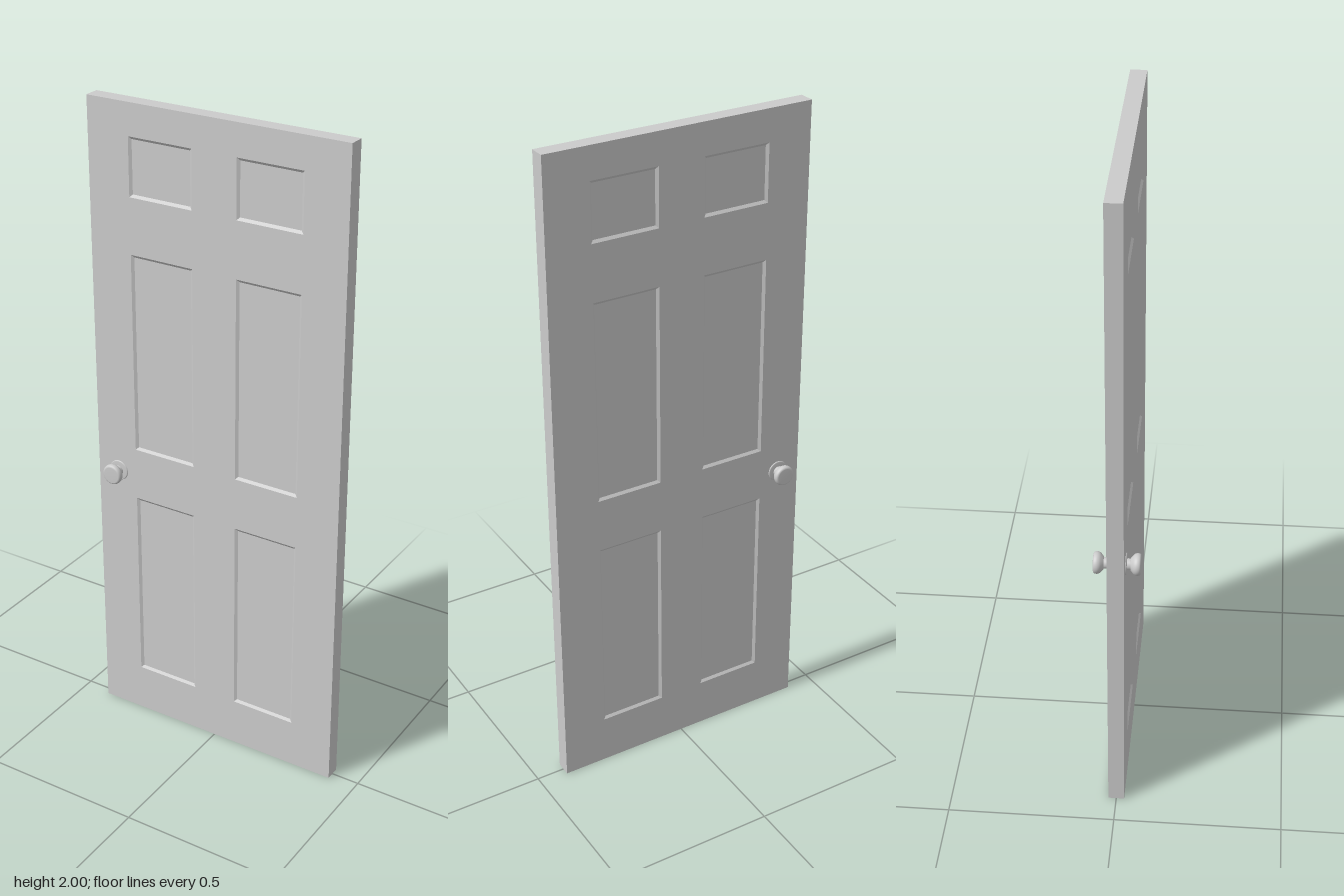
import * as THREE from 'three';

const WIDTH = 0.824, HEIGHT = 2, HALF_DEPTH = 0.024;
const RECESS = 0.006, BEVEL = 0.008;

// Panel columns and rows
const columns = [-0.174, 0.174];
const panelWidth = 0.206;
const rows = [
  { name: 'bottom', y0: 0.154, y1: 0.775 },
  { name: 'middle', y0: 0.94, y1: 1.56 },
  { name: 'top', y0: 1.73, y1: 1.904 },
];

const material = new THREE.MeshStandardMaterial({ color: 0xcccccc });

function part(name, geometry, parent) {
  const mesh = new THREE.Mesh(geometry, material);
  mesh.name = name;
  parent.add(mesh);
  return mesh;
}

// Corners of a rectangle, counter-clockwise seen from +z
function corners(w, h) {
  return [[-w / 2, -h / 2], [w / 2, -h / 2], [w / 2, h / 2], [-w / 2, h / 2]];
}

// Flat-shaded walls between two rectangles [w, h, z], the first one optionally capped
function rectLoft(first, second, cap) {
  const positions = [];
  for (const [w, h, z] of [first, second]) {
    for (const [x, y] of corners(w, h)) positions.push(x, y, z);
  }
  const index = cap ? [0, 1, 2, 0, 2, 3] : [];
  for (let i = 0; i < 4; i++) {
    const j = (i + 1) % 4;
    index.push(i, i + 4, j, j, i + 4, j + 4);
  }
  const indexed = new THREE.BufferGeometry();
  indexed.setAttribute('position', new THREE.Float32BufferAttribute(positions, 3));
  indexed.setIndex(index);
  const geometry = indexed.toNonIndexed();
  geometry.computeVertexNormals();
  return geometry;
}

// Door face with an opening for every panel
function faceGeometry() {
  const toPoints = (w, h, cx, cy) =>
    corners(w, h).map(([x, y]) => new THREE.Vector2(x + cx, y + cy));
  const shape = new THREE.Shape(toPoints(WIDTH, HEIGHT, 0, HEIGHT / 2));
  for (const cx of columns) {
    for (const { y0, y1 } of rows) {
      shape.holes.push(new THREE.Path(toPoints(panelWidth, y1 - y0, cx, (y0 + y1) / 2).reverse()));
    }
  }
  return new THREE.ShapeGeometry(shape);
}

// Rose, neck and flared grip, turned around the z axis
function addKnob(parent) {
  const knob = new THREE.Group();
  knob.name = 'knob';
  knob.position.y = 0.854;
  parent.add(knob);

  const turn = (name, profile) => {
    const points = profile.map(([r, z]) => new THREE.Vector2(r, z));
    part(name, new THREE.LatheGeometry(points, 32).rotateX(Math.PI / 2), knob);
  };
  turn('rose', [[0.032, 0.024], [0.0315, 0.0262], [0.029, 0.0272], [0.016, 0.0276]]);
  turn('neck', [[0.016, 0.0272], [0.016, 0.038]]);
  const flare = new THREE.SplineCurve([
    [0.018, 0.038], [0.0235, 0.0425], [0.029, 0.048], [0.0318, 0.0545],
    [0.0315, 0.061], [0.029, 0.0655], [0.025, 0.0672],
  ].map(([r, z]) => new THREE.Vector2(r, z))).getPoints(20).map((p) => [p.x, p.y]);
  turn('grip', [[0.015, 0.0375], ...flare, [0.012, 0.0675], [0, 0.0675]]);
  return knob;
}

// One side of the door: face, recessed panels and knob
function addSide(name, parent, knobX) {
  const side = new THREE.Group();
  side.name = name;
  parent.add(side);

  part('face', faceGeometry(), side).position.z = HALF_DEPTH;
  for (const cx of columns) {
    for (const row of rows) {
      const h = row.y1 - row.y0;
      const panel = part(
        row.name + 'Panel',
        rectLoft(
          [panelWidth - 2 * BEVEL, h - 2 * BEVEL, HALF_DEPTH - RECESS],
          [panelWidth, h, HALF_DEPTH],
          true,
        ),
        side,
      );
      panel.position.set(cx, (row.y0 + row.y1) / 2, 0);
    }
  }
  addKnob(side).position.x = knobX;
  return side;
}

export function createModel() {
  const door = new THREE.Group();
  door.name = 'door';

  // Outer edges of the slab
  part('edges', rectLoft([WIDTH, HEIGHT, HALF_DEPTH], [WIDTH, HEIGHT, -HALF_DEPTH], false), door)
    .position.y = HEIGHT / 2;

  // Both sides, with the knobs back to back
  addSide('frontSide', door, -0.34);
  addSide('backSide', door, 0.34).rotation.y = Math.PI;

  return door;
}
